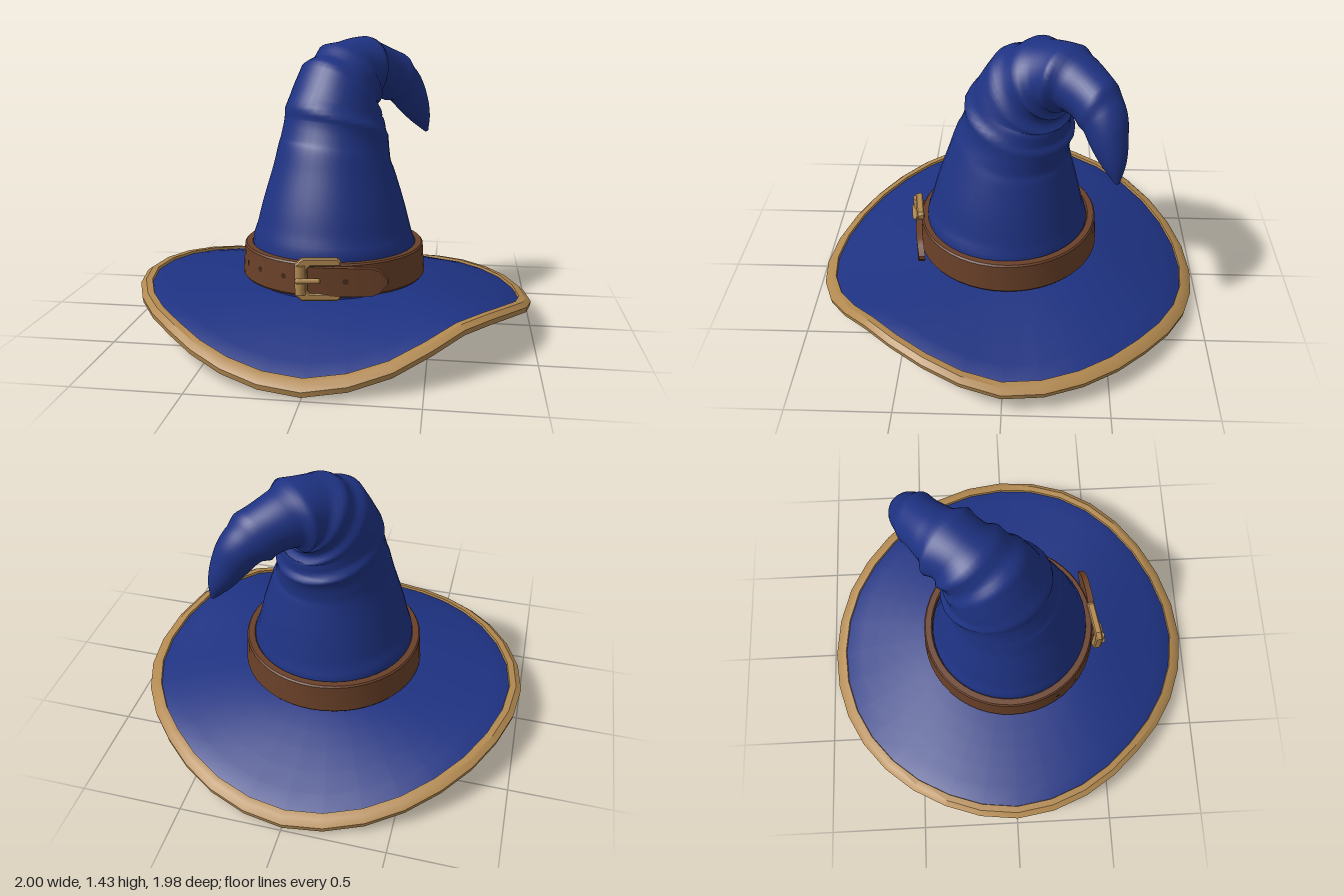
import * as THREE from 'three';
import { toCreasedNormals } from 'three/addons/utils/BufferGeometryUtils.js';

const V = (x, y, z) => new THREE.Vector3(x, y, z);
const material = (name, color) => Object.assign(new THREE.MeshStandardMaterial({ color }), { name });

// Skin between rings of points; points run counter-clockwise about the direction of travel
function loft(rings, closed = false) {
  const n = rings[0].length, m = rings.length, index = [];
  for (let i = 0; i < (closed ? m : m - 1); i++) {
    for (let j = 0; j < n; j++) {
      const k = (j + 1) % n, p = i * n, q = ((i + 1) % m) * n;
      index.push(p + j, p + k, q + k, p + j, q + k, q + j);
    }
  }
  const g = new THREE.BufferGeometry().setFromPoints(rings.flat());
  g.setIndex(index);
  g.computeVertexNormals();
  return g;
}

// Closed hoop about the y axis; section(angle) gives [radius, y] pairs, up -> out -> down -> in
function hoop(segments, section) {
  const rings = [];
  for (let i = 0; i < segments; i++) {
    const a = (i / segments) * Math.PI * 2;
    rings.push(section(a).map(([r, y]) => V(r * Math.sin(a), y, r * Math.cos(a))));
  }
  return toCreasedNormals(loft(rings, true), 0.6);
}

// Brim edge as [radius, height], from the front round through +x
const edge = new THREE.CatmullRomCurve3([
  [0.992, 0.028], [0.97, 0.095], [0.942, 0.21], [0.967, 0.197], [1, 0.122], [0.985, 0.115], [0.965, 0.103], [0.98, 0.06],
  [0.99, 0.018], [0.99, 0.055], [0.987, 0.13], [0.99, 0.185], [1, 0.2], [0.97, 0.18], [0.945, 0.14], [0.967, 0.068],
].map(([r, h]) => V(r, h, 0)), true, 'catmullrom', 0.5);

// Radius and height of the brim at t = 0 (centre) to 1 (edge)
function brimAt(t, a) {
  const rim = edge.getPoint(a / (Math.PI * 2));
  const fall = Math.pow(Math.max(0, (t - 0.35) / 0.65), 1.3);
  return [t * rim.x, THREE.MathUtils.lerp(0.25, rim.y, fall)];
}

function brimGeometry() {
  const radii = [0, 0.2, 0.35, 0.45, 0.55, 0.65, 0.75, 0.85, 0.97];
  const ring = (t, dy) => Array.from({ length: 32 }, (_, j) => {
    const a = (j / 32) * Math.PI * 2, [r, y] = brimAt(t, a);
    return V(r * Math.sin(a), y + dy, r * Math.cos(a));
  });
  return loft([...radii.map(t => ring(t, -0.018)), ...radii.reverse().map(t => ring(t, 0.004))]);
}

// Crown spine: x, y, z and radius, bending over to a drooping tip
const SPINE = [
  [0, 0.235, 0.005, 0.422], [0, 0.4, 0.008, 0.408], [0, 0.6, 0.003, 0.362], [0, 0.8, -0.01, 0.302],
  [0, 0.9, -0.03, 0.277], [0, 1.0, -0.05, 0.256], [0.002, 1.1, -0.075, 0.235], [0.03, 1.188, -0.13, 0.2],
  [0.072, 1.25, -0.21, 0.172], [0.138, 1.265, -0.3, 0.146], [0.225, 1.232, -0.382, 0.124],
  [0.303, 1.17, -0.437, 0.11], [0.36, 1.08, -0.465, 0.088], [0.405, 0.99, -0.49, 0.056], [0.442, 0.91, -0.505, 0.01],
];
// Cloth folds: position on the spine, length, height, slant
const FOLDS = [
  [1.2, 0.7, 0.012, 0.1], [5.1, 0.9, 0.024, 0.5], [6.6, 0.9, 0.026, 0.2],
  [7.7, 0.8, 0.028, -0.1], [8.7, 0.8, 0.03, 0.1], [10.5, 0.9, 0.016, -0.2],
];
function foldBulge(k, a) {
  let sum = 0;
  FOLDS.forEach(([at, w, height, slant], i) => {
    const s = k - at + slant * Math.sin(a);
    const drop = 0.4 * w;
    let f = 0;
    if (s > -w && s <= 0) f = ((s + w) / w) ** 2;
    else if (s > 0 && s < drop) f = 1 - s / drop;
    sum += f * height * (0.75 + 0.35 * Math.cos(2 * a + i * 1.7));
  });
  return sum;
}
function crownGeometry() {
  const last = SPINE.length - 1, steps = last * 8, sides = 40;
  const path = new THREE.CatmullRomCurve3(SPINE.map(p => V(p[0], p[1], p[2])), false, 'catmullrom', 0.5);
  const girth = new THREE.CatmullRomCurve3(SPINE.map((p, i) => V(p[3], i, 0)), false, 'catmullrom', 0.5);
  const across = V(0.76, 0, 0.65).normalize();
  const rings = [];
  for (let i = 0; i <= steps; i++) {
    const u = i / steps, c = path.getPoint(u), r = girth.getPoint(u).x;
    const inner = path.getTangent(u).cross(across).normalize();
    rings.push(Array.from({ length: sides }, (_, j) => {
      const a = (j / sides) * Math.PI * 2, d = r + foldBulge(u * last, a);
      return c.clone().addScaledVector(across, d * Math.cos(a)).addScaledVector(inner, d * Math.sin(a));
    }));
  }
  rings.push(rings[steps].map(() => path.getPoint(1)));
  return loft(rings);
}

// Loose belt end with a pointed tip
const tongueZ = x => 0.46 - 0.4 * x * x;
function tongueGeometry() {
  const stations = [[-0.08, 0], [-0.08, 0.068], [0, 0.068], [0.08, 0.068], [0.16, 0.068], [0.24, 0.066],
    [0.275, 0.052], [0.312, 0.01], [0.312, 0]];
  return toCreasedNormals(loft(stations.map(([x, h]) => {
    const z = tongueZ(x), t = h ? 0.016 : 0;
    return [V(x, 0.34 + h, z - t), V(x, 0.34 + h, z + t), V(x, 0.34 - h, z + t), V(x, 0.34 - h, z - t)];
  })), 0.6);
}

export function createModel() {
  const model = new THREE.Group();
  model.name = 'pointedHat';
  const cloth = material('blueCloth', 0x1e3282);
  const tan = material('tanTrim', 0xb1884f);
  const leather = material('brownLeather', 0x694028);
  const dark = material('darkHole', 0x452a1b);
  const add = (name, geometry, mat, parent = model) => {
    const mesh = new THREE.Mesh(geometry, mat);
    mesh.name = name;
    parent.add(mesh);
    return mesh;
  };

  add('brim', brimGeometry(), cloth);
  add('crown', crownGeometry(), cloth);
  add('brimTrim', hoop(32, a => [
    [0.936, 0], [0.94, 0.018], [0.972, 0.022], [0.999, 0.006], [0.995, -0.02], [0.972, -0.025], [0.955, -0.022],
  ].map(([t, dy]) => {
    const [r, y] = brimAt(t, a);
    return [r, y + dy];
  })), tan);

  // Belt, its loose end and the punched holes
  add('belt', hoop(48, () => [[0.408, 0.41], [0.414, 0.418], [0.445, 0.418], [0.452, 0.41],
    [0.462, 0.268], [0.455, 0.258], [0.408, 0.258]]), leather);
  add('beltEnd', tongueGeometry(), leather);
  for (const x of [-0.39, -0.31, -0.18]) {
    const a = Math.asin(x / 0.46);
    const hole = add('beltHole', new THREE.CircleGeometry(0.014, 12), dark);
    hole.position.set(x, 0.345, 0.46 * Math.cos(a));
    hole.rotation.y = a;
  }
  const endHole = add('beltHole', new THREE.CircleGeometry(0.014, 12), dark);
  endHole.position.set(0.12, 0.345, tongueZ(0.12) + 0.018);
  endHole.rotation.y = 0.096;

  // Buckle: open frame, thick roller bar and prong
  const buckle = new THREE.Group();
  buckle.name = 'buckle';
  buckle.position.set(-0.005, 0.35, 0.45);
  buckle.rotation.y = 0.16;
  model.add(buckle);
  const frame = new THREE.Shape([[-0.08, 0.095], [0.08, 0.095], [0.092, 0.085], [0.092, 0.072], [-0.045, 0.072],
    [-0.062, 0.055], [-0.062, -0.055], [-0.045, -0.072], [0.092, -0.072], [0.092, -0.085], [0.08, -0.095],
    [-0.08, -0.095], [-0.108, -0.07], [-0.108, 0.07]].map(([x, y]) => new THREE.Vector2(x, y)));
  add('buckleFrame', new THREE.ExtrudeGeometry(frame, {
    depth: 0.026, bevelThickness: 0.006, bevelSize: 0.006, bevelSegments: 1,
  }), tan, buckle);
  add('buckleRoller', new THREE.CylinderGeometry(0.026, 0.026, 0.14, 14), tan, buckle).position.set(-0.088, 0, 0.02);
  const prong = add('buckleProng', new THREE.CapsuleGeometry(0.014, 0.09, 4, 10), tan, buckle);
  prong.rotation.z = Math.PI / 2;
  prong.position.set(-0.055, 0, 0.042);

  return model;
}
